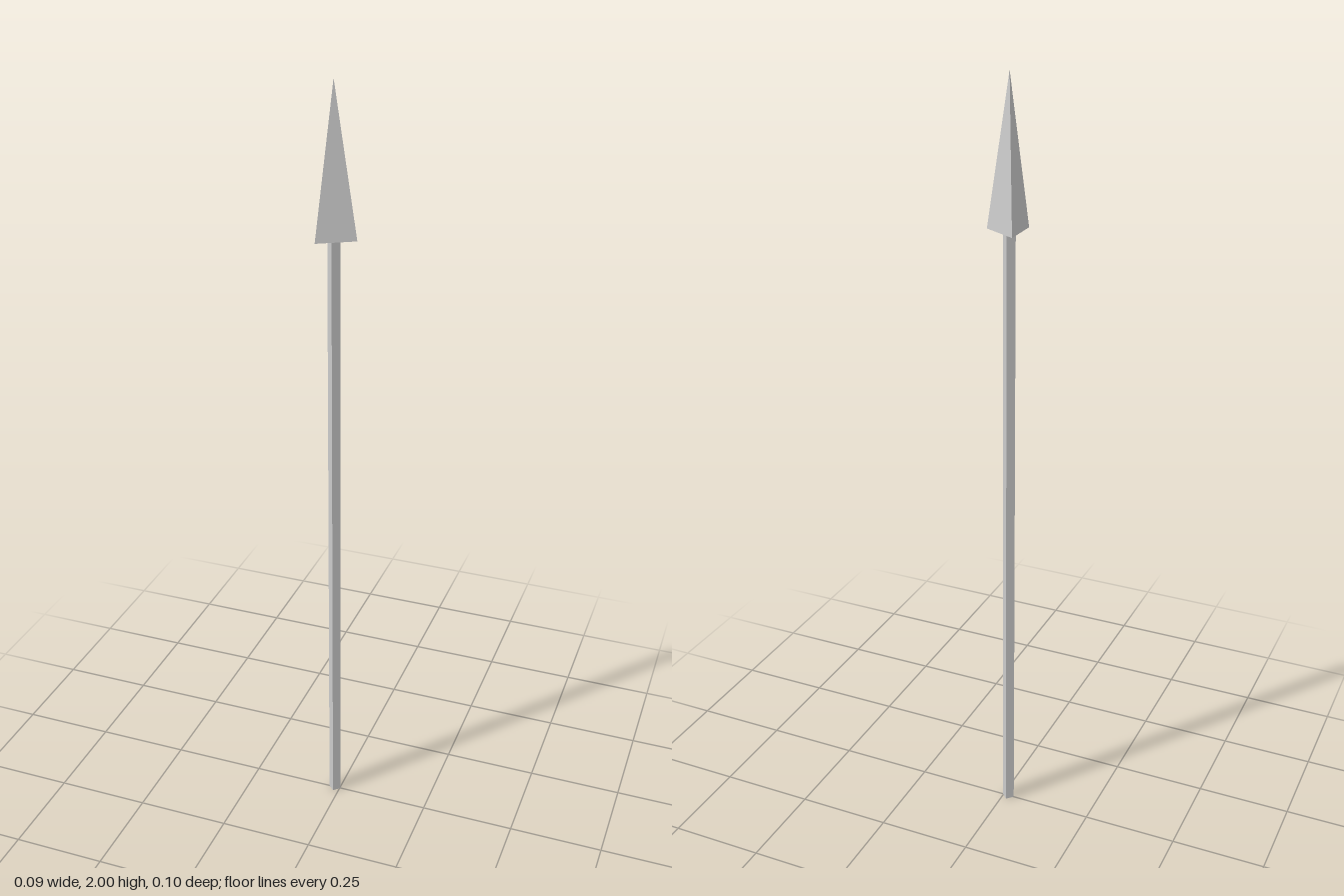
import * as THREE from 'three';

export function createModel() {
  const model = new THREE.Group();
  model.name = 'spear';
  const material = new THREE.MeshStandardMaterial({ color: 0xcccccc, flatShading: true });

  const headBase = 1.63;
  const height = 2;
  const headRadius = 0.058;
  const axisX = -headRadius / 4; // centres the three-sided head's bounds on x = 0

  // Four-sided shaft, corners on the x and z axes
  const shaft = new THREE.Mesh(new THREE.CylinderGeometry(0.0165, 0.0165, headBase, 4), material);
  shaft.name = 'shaft';
  shaft.position.set(axisX, headBase / 2, 0);
  model.add(shaft);

  // Three-sided pointed head, one corner towards +x
  const headHeight = height - headBase;
  const head = new THREE.Mesh(new THREE.ConeGeometry(headRadius, headHeight, 3), material);
  head.name = 'head';
  head.rotation.y = Math.PI / 2;
  head.position.set(axisX, headBase + headHeight / 2, 0);
  model.add(head);

  return model;
}
